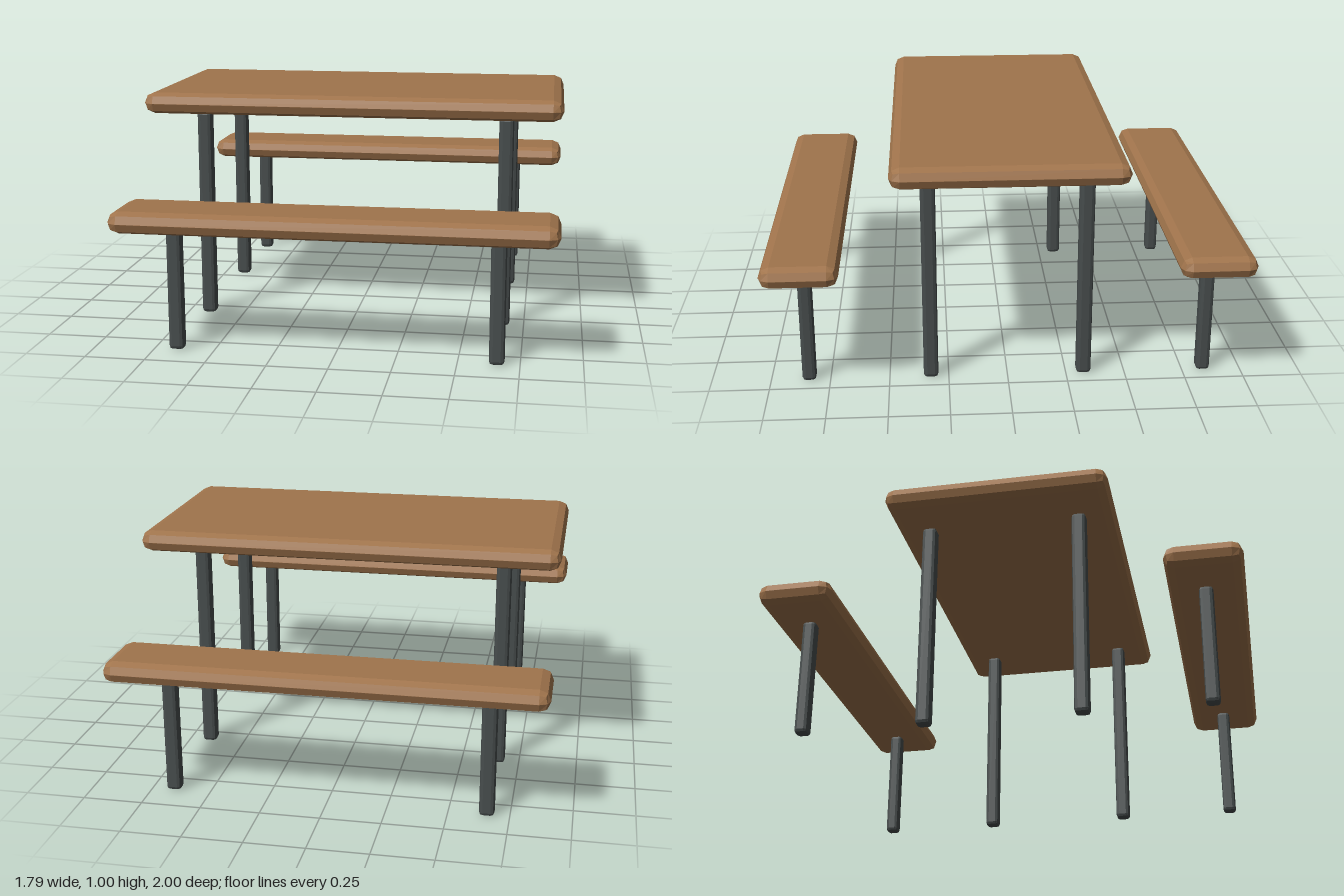
import * as THREE from 'three';
import { RoundedBoxGeometry } from 'three/addons/geometries/RoundedBoxGeometry.js';

export function createModel() {
  const model = new THREE.Group();
  model.name = 'picnicTable';

  const wood = new THREE.MeshStandardMaterial({ color: 0xa0744c, flatShading: true });
  wood.name = 'brownWood';
  const metal = new THREE.MeshStandardMaterial({ color: 0x474d4d, flatShading: true });
  metal.name = 'darkMetal';

  // Bevelled block standing on height y
  function block(parent, name, material, [w, h, d], bevel, [x, y, z]) {
    const mesh = new THREE.Mesh(new RoundedBoxGeometry(w, h, d, 1, bevel), material);
    mesh.name = name;
    mesh.position.set(x, y + h / 2, z);
    parent.add(mesh);
  }

  const length = 1.79, thick = 0.09, legX = 0.657;

  // Slab with legs beneath it at both ends
  function furniture(name, slabName, topY, depth, z, legZs, legDepth) {
    const group = new THREE.Group();
    group.name = name;
    const legHeight = topY - thick;
    block(group, slabName, wood, [length, thick, depth], 0.0445, [0, legHeight, z]);
    for (const x of [-legX, legX]) {
      for (const lz of legZs) {
        block(group, name + 'Leg', metal, [0.062, legHeight, legDepth], 0.015, [x, 0, lz]);
      }
    }
    model.add(group);
  }

  // Table
  furniture('table', 'tableTop', 1.005, 0.95, 0, [-0.325, 0.325], 0.062);

  // Benches in front and behind
  for (const side of [1, -1]) {
    furniture(side > 0 ? 'frontBench' : 'backBench', 'benchSeat',
      0.6, 0.316, side * 0.842, [side * 0.839], 0.058);
  }

  return model;
}
